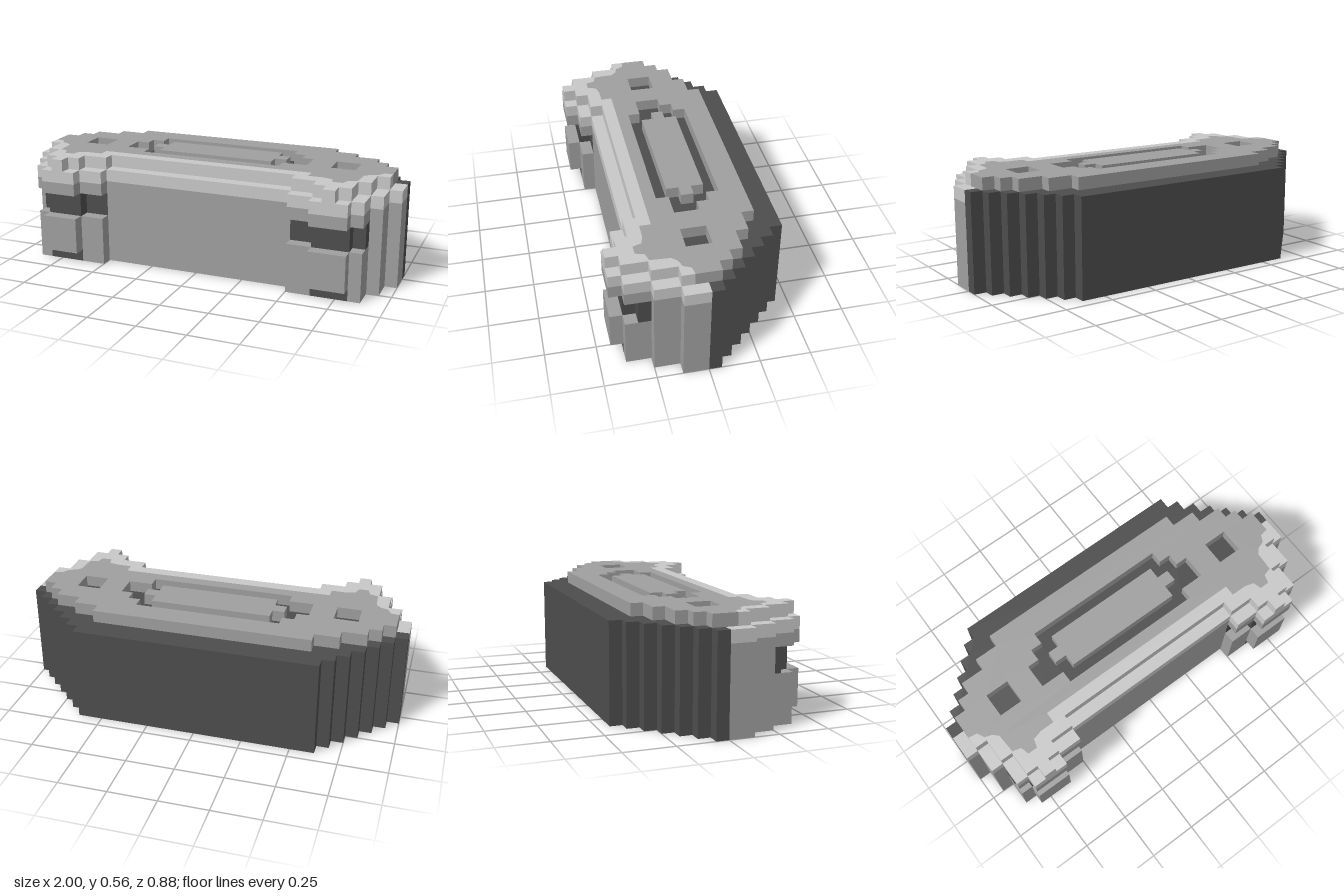
import * as THREE from 'three';

const UNIT = 1 / 16; // one block

const mat = (name, color) => Object.assign(new THREE.MeshStandardMaterial({ color }), { name });

// Completes a right-hand outline of [x, z] points with its mirror image
const mirror = (half) => [...half, ...half.map(([x, z]) => [-x, z]).reverse()];
const rect = (x0, x1, z0, z1) => [[x0, z0], [x1, z0], [x1, z1], [x0, z1]];
const toPath = (pts) => pts.map(([x, z]) => new THREE.Vector2(x, -z));

export function createModel() {
  const group = new THREE.Group();
  const dark = mat('dark grey', 0x4d4d4d);
  const mid = mat('mid grey', 0x9f9f9f);
  const light = mat('light grey', 0xc8c8c8);

  // Upright prism over an [x, z] outline between two heights, all in blocks
  function slab(name, pts, y0, y1, material, holes = []) {
    const shape = new THREE.Shape(toPath(pts));
    holes.forEach((h) => shape.holes.push(new THREE.Path(toPath(h))));
    const geo = new THREE.ExtrudeGeometry(shape, { depth: y1 - y0, bevelEnabled: false });
    geo.rotateX(-Math.PI / 2).translate(0, y0, 0).scale(UNIT, UNIT, UNIT);
    const mesh = new THREE.Mesh(geo, material);
    mesh.name = name;
    group.add(mesh);
  }

  // Stepped dark back half
  const back = [];
  for (let i = 0; i < 7; i++) back.push([16 - i, -i], [16 - i, -i - 1]);
  slab('backBody', mirror(back), 0, 8, dark);

  // Front half in layers, with two projecting corners
  const side = [[14, 4], [15, 4], [15, 2], [16, 2], [16, 0]];
  const full = mirror([[8, 5], [8, 6], [10, 6], [10, 7], [13, 7], [13, 6], [14, 6], ...side]);
  const base = mirror([[8, 5], [8, 6], [10, 6], [10, 5], [13, 5], [13, 6], [14, 6], ...side]);
  const waist = mirror([[8, 5], [8, 4], ...side]);
  slab('frontBase', base, 0, 1, mid);
  slab('frontLower', full, 1, 4, mid);
  slab('frontWaist', waist, 4, 6, mid);
  slab('frontUpper', full, 6, 7, mid);
  slab('frontRim', full, 7, 8, light);

  // Dark slots in the corners
  for (const s of [1, -1]) {
    const tag = s > 0 ? 'left' : 'right';
    slab(tag + 'SlotBack', rect(8 * s, 14 * s, 4, 5), 4, 6, dark);
    slab(tag + 'SlotFront', rect(10 * s, 13 * s, 5, 6), 4, 6, dark);
    slab(tag + 'FootInset', rect(10 * s, 13 * s, 5, 6), 0, 1, dark);
  }

  // Lid: mid grey field with a light, wavy front border
  const seam = [[9, 3], [9, 3.9], [10.2, 3.9], [11, 4.1], [11.2, 4.8], [12, 4.8], [12.2, 4.1],
    [12.9, 3.9], [13, 2.3], [13.4, 1.9], [14, 1.7], [14.3, 1.1], [15, 1]];
  const lidBack = [[15, -1], [14, -1], [14, -2], [13, -2], [13, -3], [11, -3], [11, -4], [9, -4], [9, -5]];
  const lidFront = [[8, 4], [8, 5], [10, 5], [10, 6], [11, 6], [11, 7], [12, 7], [12, 6],
    [13, 6], [13, 4], [14, 4], [14, 2], [15, 2]];
  const groove = mirror([[6, 2], [6, 1], [8, 1], [8, -1], [7, -1], [7, -2], [6, -2], [6, -3]]);
  const pits = [rect(10, 12, -1, 1), rect(-12, -10, -1, 1)];
  slab('lid', mirror([...seam, ...lidBack]), 8, 9, mid, [groove, ...pits]);
  slab('lidBorder', mirror([...lidFront, ...[...seam].reverse()]), 8, 9, light);

  // Island inside the groove, and dark floors of the recesses
  slab('lidIsland', mirror([[5, 1], [5, 0], [6, 0], [6, -1], [5, -1], [5, -2]]), 8, 9, mid);
  slab('grooveFloor', groove, 8, 8.08, dark);
  pits.forEach((p, i) => slab(i ? 'rightPitFloor' : 'leftPitFloor', p, 8, 8.08, dark));

  return group;
}
